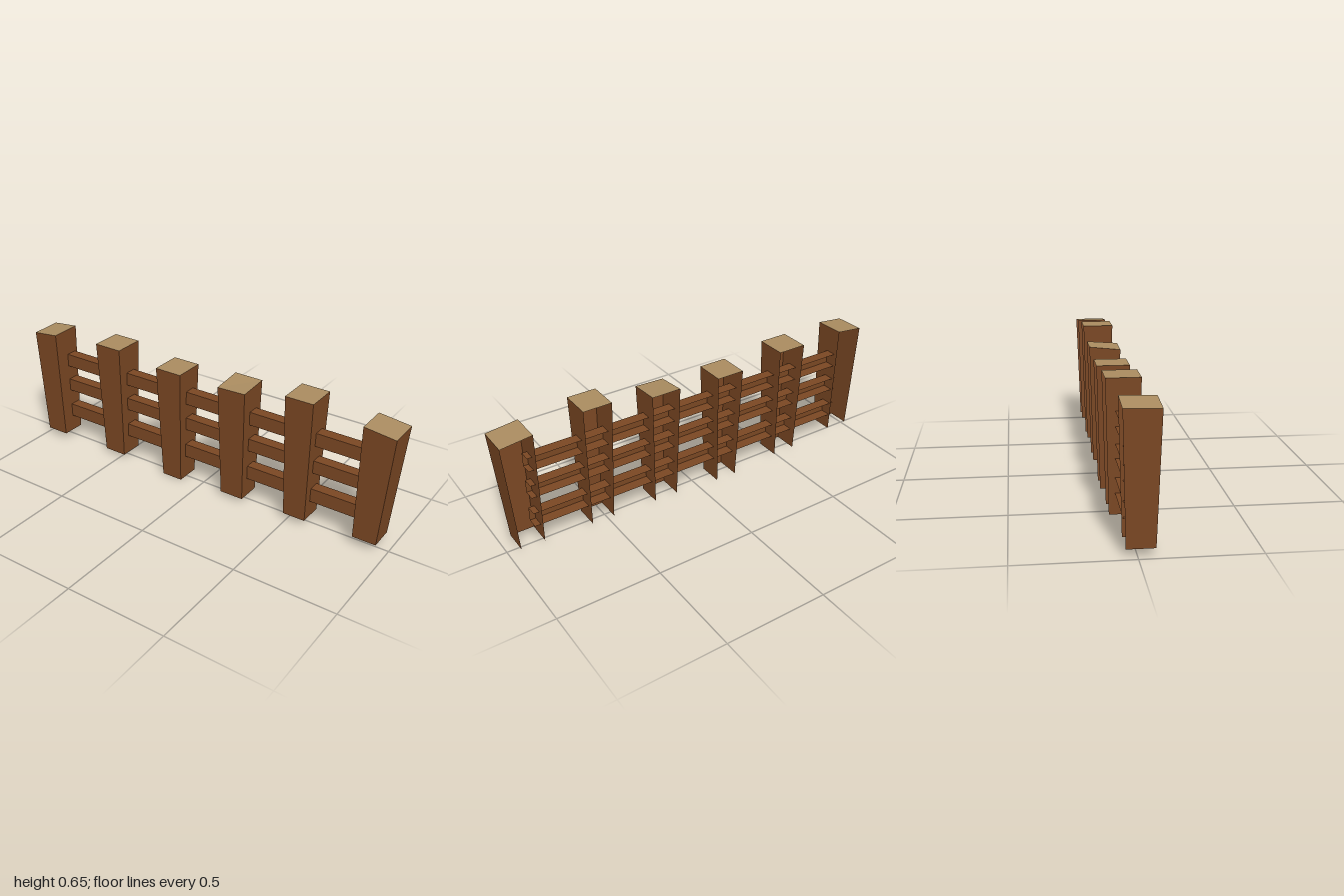
import * as THREE from 'three';

// Builds flat-shaded quads from corner points (counter-clockwise from outside).
function quads(list) {
  const pos = [];
  for (const [a, b, c, d] of list) pos.push(...a, ...b, ...c, ...a, ...c, ...d);
  const geo = new THREE.BufferGeometry();
  geo.setAttribute('position', new THREE.Float32BufferAttribute(pos, 3));
  geo.computeVertexNormals();
  return geo;
}

export function createModel() {
  const fence = new THREE.Group();
  fence.name = 'fence';
  const bark = new THREE.MeshStandardMaterial({ color: 0x7a4723, side: THREE.DoubleSide });
  bark.name = 'brown wood';
  const cut = new THREE.MeshStandardMaterial({ color: 0xaa8c60, side: THREE.DoubleSide });
  cut.name = 'pale cut wood';

  const add = (parent, name, geo, mat) => {
    const mesh = new THREE.Mesh(geo, mat);
    mesh.name = name;
    parent.add(mesh);
  };

  // Tapered posts, open at the back and underneath.
  // foot: [x0, x1, y], head: [x0, x1], tops: heights at front left, front right, back right, back left
  const posts = [
    { foot: [-0.98, -0.86, 0.035], head: [-1.0, -0.86], tops: [0.6, 0.615, 0.618, 0.603], dz: 0.023 },
    { foot: [-0.593, -0.473, 0.022], head: [-0.607, -0.46], tops: [0.625, 0.625, 0.625, 0.625], dz: 0 },
    { foot: [-0.217, -0.108, 0], head: [-0.234, -0.093], tops: [0.593, 0.593, 0.593, 0.593], dz: 0 },
    { foot: [0.134, 0.255, 0.022], head: [0.12, 0.266], tops: [0.592, 0.597, 0.608, 0.608], dz: 0 },
    { foot: [0.485, 0.597, 0.032], head: [0.472, 0.612], tops: [0.65, 0.65, 0.65, 0.65], dz: 0 },
    { foot: [0.84, 0.955, 0.045], head: [0.848, 1.0], tops: [0.618, 0.6, 0.6, 0.618], dz: 0 },
  ];
  posts.forEach(({ foot: [x0, x1, y], head: [h0, h1], tops, dz }, i) => {
    const post = new THREE.Group();
    post.name = `post${i + 1}`;
    const f = 0.049 + dz, b = -0.071 + dz, tf = 0.064 + dz, tb = -0.088 + dz;
    const low = [[x0, y, f], [x1, y, f], [x1, y, b], [x0, y, b]];
    const top = [[h0, tops[0], tf], [h1, tops[1], tf], [h1, tops[2], tb], [h0, tops[3], tb]];
    const wall = (p, q) => [low[p], low[q], top[q], top[p]];
    add(post, 'postWalls', quads([wall(0, 1), wall(1, 2), wall(3, 0)]), bark);
    add(post, 'postTop', quads([top]), cut);
    fence.add(post);
  });

  // Rails: channels open at the back, running through the posts.
  [[0.12, 0.19], [0.275, 0.34], [0.416, 0.483]].forEach(([y0, y1], i) => {
    const x0 = -0.88, x1 = 0.87, f = 0.01, b = -0.045;
    add(fence, `rail${i + 1}`, quads([
      [[x0, y0, f], [x1, y0, f], [x1, y1, f], [x0, y1, f]],
      [[x0, y1, f], [x1, y1, f], [x1, y1, b], [x0, y1, b]],
      [[x0, y0, b], [x1, y0, b], [x1, y0, f], [x0, y0, f]],
    ]), bark);
  });
  return fence;
}
